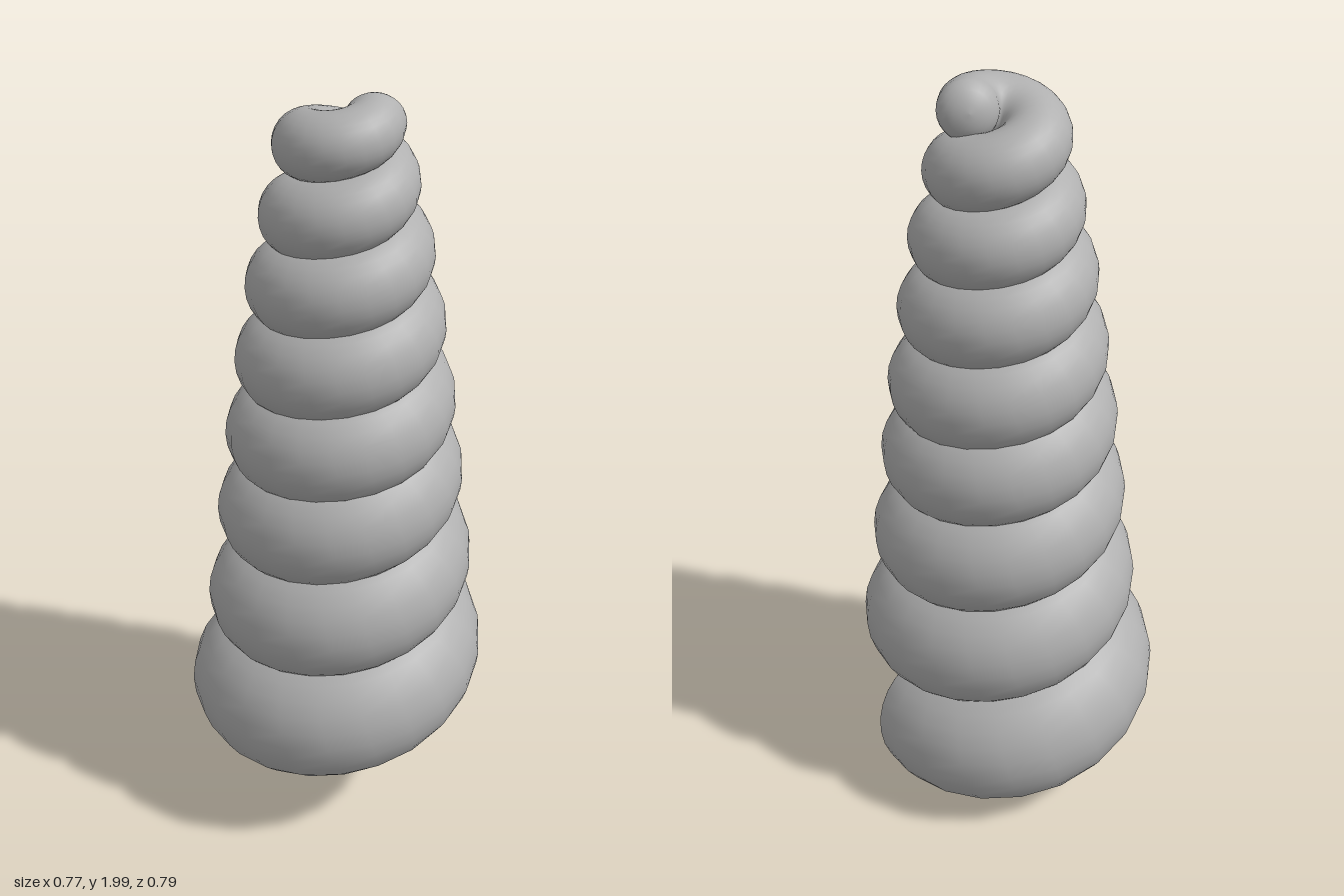
import * as THREE from 'three';

const shellMat = new THREE.MeshStandardMaterial({ color: 0xb0b0b0 });
shellMat.name = 'shell grey';

const SIDES = 28, STEPS = 22, TURNS = 7.93;
const AXIS_X = 0.006, AXIS_Z = 0.018;

// One key per half turn, from the mouth up to the tip: [outer reach, height]
const KEYS = [
  [0.379, 0.185], [0.395, 0.35], [0.364, 0.5], [0.346, 0.645], [0.329, 0.78],
  [0.313, 0.91], [0.299, 1.03], [0.286, 1.135], [0.274, 1.235], [0.257, 1.34],
  [0.244, 1.44], [0.227, 1.535], [0.212, 1.625], [0.192, 1.71], [0.174, 1.795],
  [0.158, 1.88], [0.138, 1.935],
];
const profile = new THREE.CatmullRomCurve3(
  KEYS.map(([reach, y]) => new THREE.Vector3(reach, y, 0)), false, 'catmullrom', 0.5);

// Coil centre and tube radius after t turns; the body whorl bulges a little
function coil(t) {
  const k = profile.getPoint(Math.min(Math.max(t / 8, 0), 1));
  const bulge = t > 0 && t < 0.5 ? Math.sin(t * 2 * Math.PI) : 0;
  const lip = 0.01 * Math.max(0, 1 - t * 2);
  const R = k.x / 2 + lip + 0.012 * bulge;
  const r = k.x / 2 - lip + 0.015 * bulge;
  const a = t * Math.PI * 2;
  return {
    r, a,
    centre: new THREE.Vector3(AXIS_X + R * Math.cos(a), k.y, AXIS_Z - R * Math.sin(a)),
  };
}

// Rings across the tube: position t, shift along the tangent, radius scale
function ringList() {
  const rings = [];
  // Cupped mouth with a rounded lip
  for (const [shift, scale] of [
    [0.075, 0.001], [0.07, 0.18], [0.05, 0.31], [0.02, 0.38], [-0.005, 0.42],
    [-0.022, 0.5], [-0.03, 0.62], [-0.03, 0.75], [-0.022, 0.88], [-0.008, 0.97],
  ]) rings.push([0, shift, scale]);
  // Whorls
  const n = Math.round(TURNS * STEPS);
  for (let i = 0; i <= n; i++) rings.push([TURNS * i / n, 0, 1]);
  // Rounded tip
  for (let i = 1; i <= 6; i++) {
    const b = i / 6 * Math.PI / 2;
    rings.push([TURNS, 0.048 * Math.sin(b), Math.max(Math.cos(b), 0.001)]);
  }
  return rings;
}

function whorlGeometry() {
  const pos = [], idx = [];
  const rings = ringList();
  for (const [t, shift, scale] of rings) {
    const { r, a, centre } = coil(t);
    const t0 = Math.max(t - 0.02, 0);
    const tangent = coil(t0 + 0.04).centre.sub(coil(t0).centre).normalize();
    const out = new THREE.Vector3(Math.cos(a), 0, -Math.sin(a));
    out.addScaledVector(tangent, -out.dot(tangent)).normalize();
    const up = new THREE.Vector3().crossVectors(tangent, out);
    for (let j = 0; j < SIDES; j++) {
      const b = j / SIDES * Math.PI * 2;
      const p = centre.clone().addScaledVector(tangent, shift)
        .addScaledVector(out, r * scale * Math.cos(b))
        .addScaledVector(up, r * scale * Math.sin(b));
      pos.push(p.x, p.y, p.z);
    }
  }
  for (let i = 0; i < rings.length - 1; i++) {
    for (let j = 0; j < SIDES; j++) {
      const a = i * SIDES + j, b = i * SIDES + (j + 1) % SIDES;
      idx.push(a, b, a + SIDES, b, b + SIDES, a + SIDES);
    }
  }
  const g = new THREE.BufferGeometry();
  g.setAttribute('position', new THREE.Float32BufferAttribute(pos, 3));
  g.setIndex(idx);
  g.computeVertexNormals();
  return g;
}

export function createModel() {
  const group = new THREE.Group();
  group.name = 'spiralShell';
  const shell = new THREE.Mesh(whorlGeometry(), shellMat);
  shell.name = 'whorls';
  group.add(shell);
  return group;
}
